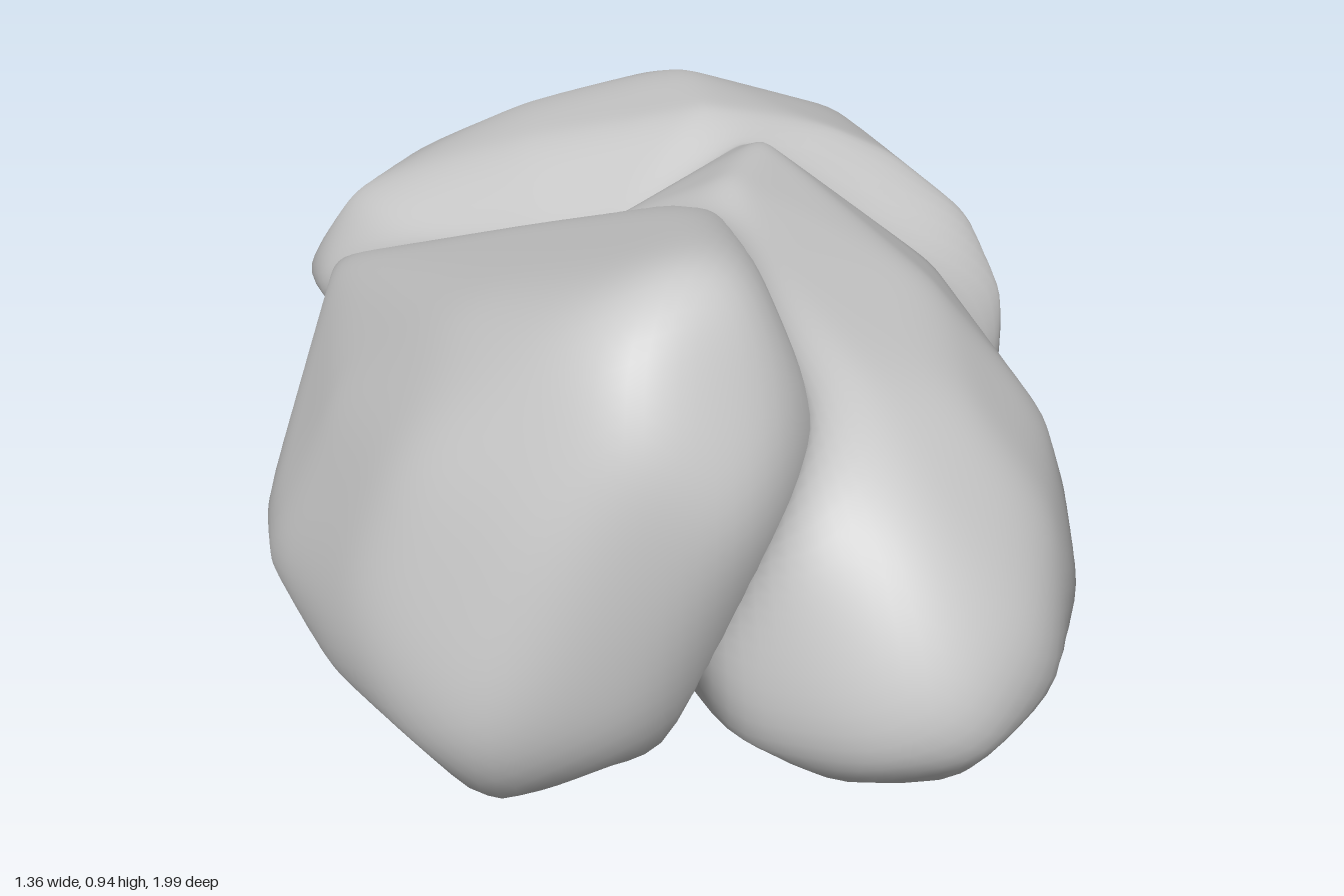
import * as THREE from 'three';
import { ConvexGeometry } from 'three/addons/geometries/ConvexGeometry.js';
import { mergeVertices } from 'three/addons/utils/BufferGeometryUtils.js';

// Corner points of the three overlapping lobes of the boulder
const ridgeLobe = [
  [0, 0.96, 0.83], [-0.12, 0.92, 0.88], [0.1, 0.9, 0.82], [0.1, 0.9, 0.66], [0.18, 0.75, 0.83],
  [0.19, 0.64, 0.74], [0.08, 0.83, 0.4], [0.01, 0.78, 0.28], [-0.28, 0.58, 0.01], [-0.57, 0.4, -0.3],
  [-0.33, 0.75, 0.55], [-0.54, 0.48, 0.35], [-0.42, 0.6, 0.76], [-0.5, 0.4, 0.77], [-0.1, 0.78, 0.99],
  [-0.2, 0.62, 0.995], [0.08, 0.6, 0.99], [0.15, 0.64, 0.94], [-0.32, 0.3, 1], [-0.44, 0.22, 0.9],
  [-0.56, 0.2, 0.7], [-0.67, 0.2, 0.4], [-0.69, 0.18, 0.22], [-0.6, 0.2, -0.34], [-0.65, 0.08, 0.3],
  [-0.5, 0.02, 0.55], [-0.3, 0.03, 0.72], [-0.1, 0.05, 0.6], [-0.3, 0.09, 0.95], [-0.03, 0.2, 0.96],
  [-0.5, 0.14, -0.3], [0.1, 0.12, -0.2], [0.1, 0.4, -0.2],
];
const sideLobe = [
  [0.12, 0.73, 0.1], [0.14, 0.71, 0.38], [0.2, 0.69, -0.13], [0.18, 0.62, -0.26], [0.26, 0.63, 0.6],
  [0.3, 0.65, 0.15], [0.45, 0.58, 0.2], [0.45, 0.55, 0.55], [0.33, 0.5, 0.83], [0.36, 0.35, 0.95],
  [0.43, 0.2, 0.99], [0.26, 0.2, 0.98], [0.2, 0.3, 0.91], [0.4, 0.06, 0.9], [0.22, 0.06, 0.89],
  [0.57, 0.22, 0.87], [0.65, 0.22, 0.63], [0.68, 0.24, 0.34], [0.62, 0.26, 0.13], [0.55, 0.28, -0.06],
  [0.63, 0.4, 0.35], [0.57, 0.41, 0.66], [0.5, 0.36, 0.85], [0.5, 0.48, -0.04], [0.63, 0.12, 0.4],
  [0.4, 0.03, 0.5], [0.03, 0, 0.45], [0.1, 0.06, 0.15], [-0.15, 0.15, -0.15], [-0.08, 0.6, 0],
  [-0.1, 0.15, 0.4], [0.3, 0.1, -0.1], [0.04, 0.7, 0.35], [0.13, 0.61, 0.63], [0.16, 0.46, 0.82],
  [0.05, 0.12, 0.82],
];
const backLobe = [
  [0.12, 0.65, -0.34], [-0.2, 0.57, -0.4], [0.1, 0.61, -0.63], [-0.2, 0.54, -0.65], [0.35, 0.62, -0.3],
  [0.47, 0.57, -0.28], [0.6, 0.48, -0.22], [0.64, 0.4, -0.1], [0.05, 0.54, -0.78], [0.4, 0.51, -0.65],
  [0.45, 0.4, -0.78], [0.57, 0.42, -0.42], [-0.2, 0.41, -0.87], [-0.42, 0.4, -0.75], [0.25, 0.4, -0.87],
  [0, 0.35, -0.96], [-0.03, 0.25, -1], [0.08, 0.2, -0.99], [0.52, 0.24, -0.83], [0.6, 0.24, -0.58],
  [0.65, 0.25, -0.39], [0.67, 0.25, -0.2], [0.63, 0.25, -0.02], [0.57, 0.25, 0.06], [-0.22, 0.24, -0.96],
  [-0.37, 0.24, -0.88], [-0.55, 0.25, -0.72], [-0.62, 0.25, -0.65], [-0.65, 0.25, -0.51], [-0.6, 0.28, -0.34],
  [-0.54, 0.44, -0.48], [-0.3, 0.12, -0.83], [0.1, 0.11, -0.85], [0.42, 0.12, -0.72], [0.5, 0.08, -0.27],
  [-0.55, 0.12, -0.5], [0, 0.07, -0.27], [0.3, 0.1, 0.1], [-0.2, 0.13, 0.1], [-0.2, 0.45, 0.1],
];

const CENTRE = new THREE.Vector3(0.02, 0.32, -0.02);
const SOFT = 0.02; // blend radius between lobes
const SWELL = 0.004; // makes up for the rounding of the corners

// Face planes of a lobe's convex hull
function hullPlanes(points) {
  const pos = new ConvexGeometry(points.map((p) => new THREE.Vector3(...p))).attributes.position;
  const corner = (i) => new THREE.Vector3().fromBufferAttribute(pos, i).sub(CENTRE);
  const planes = [];
  for (let i = 0; i < pos.count; i += 3) {
    planes.push(new THREE.Plane().setFromCoplanarPoints(corner(i), corner(i + 1), corner(i + 2)));
  }
  return planes;
}

// Distance from the centre to the hull along a direction
function reach(planes, dir) {
  let r = 10;
  for (const { normal, constant } of planes) {
    const slope = normal.dot(dir);
    if (slope > 1e-4) r = Math.min(r, -constant / slope);
  }
  return Math.max(r, 0);
}

// Neighbours of every vertex
function findNeighbours(geometry) {
  const index = geometry.index.array;
  const near = Array.from({ length: geometry.attributes.position.count }, () => new Set());
  for (let i = 0; i < index.length; i += 3) {
    for (let k = 0; k < 3; k++) {
      near[index[i + k]].add(index[i + (k + 1) % 3]).add(index[i + (k + 2) % 3]);
    }
  }
  return near;
}

// Relax positions or normals toward the mean of their neighbours
function relax(attribute, near, passes) {
  const v = new THREE.Vector3();
  for (let pass = 0; pass < passes; pass++) {
    const next = near.map((set, i) => {
      const mean = new THREE.Vector3();
      for (const j of set) mean.add(v.fromBufferAttribute(attribute, j));
      return mean.divideScalar(set.size).lerp(v.fromBufferAttribute(attribute, i), 0.4);
    });
    next.forEach((p, i) => attribute.setXYZ(i, p.x, p.y, p.z));
  }
}

export function createModel() {
  const lobes = [ridgeLobe, sideLobe, backLobe].map(hullPlanes);

  // Push a fine sphere out to the softly blended union of the lobes
  const ball = new THREE.IcosahedronGeometry(1, 40);
  ball.deleteAttribute('normal');
  ball.deleteAttribute('uv');
  const geometry = mergeVertices(ball, 1e-4);
  const pos = geometry.attributes.position;
  const dir = new THREE.Vector3();
  for (let i = 0; i < pos.count; i++) {
    dir.fromBufferAttribute(pos, i).normalize();
    const r = lobes.map((planes) => reach(planes, dir));
    const far = Math.max(...r);
    const blend = SOFT * Math.log(r.reduce((sum, d) => sum + Math.exp((d - far) / SOFT), 0));
    dir.multiplyScalar(far + blend + SWELL).add(CENTRE);
    pos.setXYZ(i, dir.x, dir.y, dir.z);
  }
  const near = findNeighbours(geometry);
  relax(pos, near, 3);

  // Centre it and stand it on the ground
  geometry.computeBoundingBox();
  const mid = geometry.boundingBox.getCenter(new THREE.Vector3());
  geometry.translate(-mid.x, -geometry.boundingBox.min.y, -mid.z);

  // Soft shading across the facets
  geometry.computeVertexNormals();
  relax(geometry.attributes.normal, near, 12);
  geometry.normalizeNormals();

  const boulder = new THREE.Mesh(geometry, new THREE.MeshStandardMaterial({ color: 0xcccccc }));
  boulder.name = 'boulder';
  const model = new THREE.Group();
  model.name = 'rock';
  model.add(boulder);
  return model;
}
